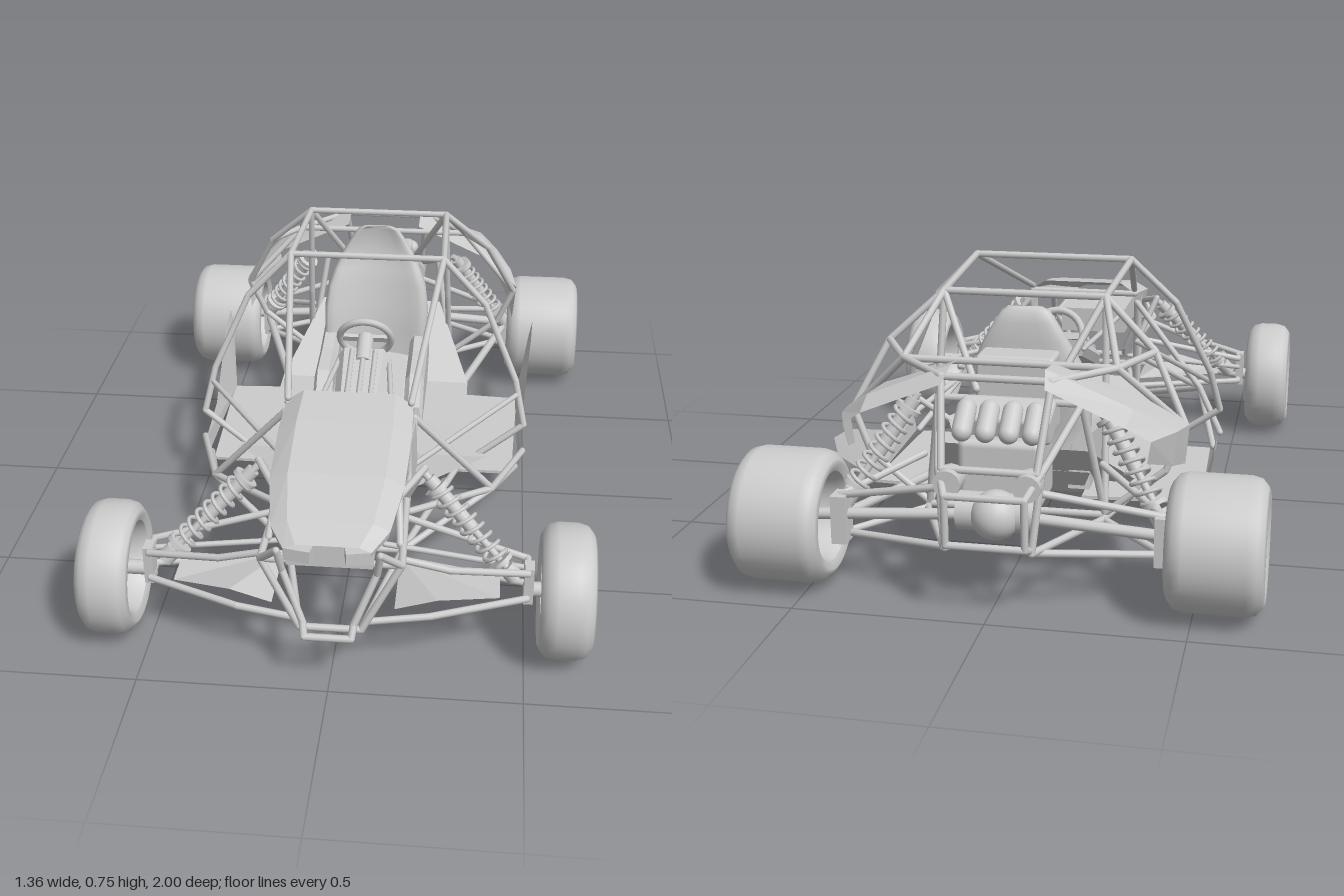
import * as THREE from 'three';
import { mergeGeometries } from 'three/addons/utils/BufferGeometryUtils.js';
import { RoundedBoxGeometry } from 'three/addons/geometries/RoundedBoxGeometry.js';

const smooth = new THREE.MeshStandardMaterial({ color: 0xcccccc, side: THREE.DoubleSide });
const flat = new THREE.MeshStandardMaterial({ color: 0xcccccc, side: THREE.DoubleSide, flatShading: true });
const V = (p) => new THREE.Vector3(...p);
const UP = new THREE.Vector3(0, 1, 0);

export function createModel() {
  const model = new THREE.Group();
  const add = (name, geo, mat = smooth, pos = [0, 0, 0], rot = [0, 0, 0], parent = model) => {
    const m = new THREE.Mesh(geo, mat);
    m.name = name;
    m.position.set(...pos);
    m.rotation.set(...rot);
    parent.add(m);
  };
  const both = (fn) => [1, -1].forEach((s) => fn(s, s > 0 ? 'left' : 'right'));
  const flip = (pts, s) => pts.map(([x, y, z]) => [x * s, y, z]);

  // straight rod between two points
  const rodGeo = (a, b, r, sides = 8) => {
    const d = V(b).sub(V(a));
    const g = new THREE.CylinderGeometry(r, r, d.length(), sides);
    g.applyQuaternion(new THREE.Quaternion().setFromUnitVectors(UP, d.clone().normalize()));
    return g.translate(...V(a).addScaledVector(d, 0.5).toArray());
  };
  // welded pipe through several points
  const pipe = (name, pts, r = 0.01) => {
    const parts = [];
    for (let i = 0; i + 1 < pts.length; i++) parts.push(rodGeo(pts[i], pts[i + 1], r));
    pts.forEach((p) => parts.push(new THREE.SphereGeometry(r, 8, 6).translate(...p)));
    add(name, mergeGeometries(parts));
  };
  const pipes = (name, pts, r) => both((s, side) => pipe(`${side} ${name}`, flip(pts, s), r));

  // surface through rows of points, optionally closed round and capped
  const skin = (rows, closed = false) => {
    const n = rows[0].length, idx = [];
    for (let i = 0; i + 1 < rows.length; i++)
      for (let j = 0; j < (closed ? n : n - 1); j++) {
        const a = i * n + j, b = i * n + (j + 1) % n;
        idx.push(a, b, a + n, b, b + n, a + n);
      }
    if (closed) for (const o of [0, (rows.length - 1) * n])
      for (let j = 1; j + 1 < n; j++) idx.push(o, o + j, o + j + 1);
    const g = new THREE.BufferGeometry();
    g.setAttribute('position', new THREE.Float32BufferAttribute(rows.flat(2), 3));
    g.setIndex(idx);
    g.computeVertexNormals();
    return g;
  };
  // flat sheet from the corners of one outline
  const sheet = (pts) => {
    const g = new THREE.BufferGeometry().setFromPoints(pts.map(V));
    g.setIndex(pts.slice(2).flatMap((_, i) => [0, i + 1, i + 2]));
    g.computeVertexNormals();
    return g;
  };

  // Wheels: tyre and dished rim turned about the axle
  const wheel = (name, s, x, y, z, R, w, rim, spokes) => {
    const g = new THREE.Group();
    g.name = name;
    g.position.set(x * s, y, z);
    g.rotation.z = -s * Math.PI / 2;
    model.add(g);
    const h = w / 2;
    const tyre = [[rim, -h + 0.01], [rim + 0.02, -h], [R - 0.025, -h + 0.005], [R - 0.007, -h + 0.02], [R, -h + 0.045],
      [R, h - 0.045], [R - 0.007, h - 0.02], [R - 0.025, h - 0.005], [rim + 0.02, h], [rim, h - 0.01], [rim - 0.006, h - 0.03],
      [rim - 0.015, 0], [rim - 0.006, -h + 0.03], [rim, -h + 0.01]].map((p) => new THREE.Vector2(...p));
    add('tyre', new THREE.LatheGeometry(tyre, 40), smooth, [0, 0, 0], [0, 0, 0], g);
    add('rim lip', new THREE.TorusGeometry(rim - 0.004, 0.007, 6, 40), smooth, [0, h - 0.012, 0], [Math.PI / 2, 0, 0], g);
    if (spokes) add('hub', new THREE.CylinderGeometry(0.055, 0.06, 0.05, 20), smooth, [0, 0.01, 0], [0, 0, 0], g);
    else add('rim dish', new THREE.CylinderGeometry(rim - 0.012, rim - 0.012, 0.02, 32), smooth, [0, 0, 0], [0, 0, 0], g);
    for (let i = 0; i < spokes; i++) {
      const a = i / spokes * Math.PI * 2, m = (rim + 0.05) / 2;
      add('spoke', new THREE.BoxGeometry(rim - 0.05, 0.03, 0.022), flat,
        [Math.cos(a) * m, 0.005, -Math.sin(a) * m], [0, a, 0], g);
    }
  };

  // Coil-over shocks
  const shock = (name, a, b) => {
    const A = V(a), B = V(b), L = A.distanceTo(B), g = new THREE.Group();
    g.name = name;
    g.position.copy(A);
    g.quaternion.setFromUnitVectors(UP, B.clone().sub(A).normalize());
    model.add(g);
    const coil = Array.from({ length: 65 }, (_, i) => new THREE.Vector3(
      0.03 * Math.cos(i * 0.785), L * (0.15 + 0.68 * i / 64), 0.03 * Math.sin(i * 0.785)));
    add('spring', new THREE.TubeGeometry(new THREE.CatmullRomCurve3(coil), 130, 0.006, 6), smooth, [0, 0, 0], [0, 0, 0], g);
    [[0.01, L, 0.5], [0.019, L * 0.5, 0.3], [0.036, 0.012, 0.14], [0.036, 0.012, 0.84], [0.024, 0.04, 0.95]].forEach(([r, len, t]) =>
      add('damper', new THREE.CylinderGeometry(r, r, len, 14), smooth, [0, L * t, 0], [0, 0, 0], g));
  };

  both((s, side) => {
    wheel(`${side} front wheel`, s, 0.603, 0.185, 0.755, 0.18, 0.142, 0.125, 10);
    wheel(`${side} rear wheel`, s, 0.557, 0.19, -0.823, 0.175, 0.245, 0.118, 0);
    shock(`${side} front shock`, [0.22 * s, 0.46, 0.65], [0.47 * s, 0.2, 0.73]);
    shock(`${side} rear shock`, [0.24 * s, 0.5, -0.7], [0.42 * s, 0.22, -0.79]);
    // uprights and axles
    add(`${side} front upright`, new THREE.BoxGeometry(0.025, 0.11, 0.045), flat, [0.505 * s, 0.205, 0.755]);
    add(`${side} rear upright`, new THREE.BoxGeometry(0.04, 0.13, 0.06), flat, [0.42 * s, 0.19, -0.823]);
    add(`${side} front axle`, rodGeo([0.5 * s, 0.185, 0.755], [0.62 * s, 0.185, 0.755], 0.02, 12));
    add(`${side} drive shaft`, rodGeo([0.1 * s, 0.22, -0.82], [0.56 * s, 0.19, -0.823], 0.015, 12));
    // guard plates on the front arms
    add(`${side} arm guard`, sheet(flip([[0.16, 0.18, 0.64], [0.16, 0.18, 0.87], [0.27, 0.215, 0.87], [0.43, 0.19, 0.81], [0.43, 0.19, 0.72]], s)), flat);
    // side fins, floor flaps and rear fenders
    add(`${side} side fin`, sheet(flip([[0.47, 0.13, -0.38], [0.48, 0.135, 0.08], [0.485, 0.19, 0.06], [0.49, 0.2, -0.13], [0.515, 0.31, -0.47], [0.52, 0.32, -0.58], [0.51, 0.27, -0.58]], s)), flat);
    const flap = [[0.14, 0.13, 0.09], [0.46, 0.13, 0.085], [0.475, 0.13, -0.38], [0.14, 0.13, -0.4]];
    add(`${side} floor flap`, skin([flip(flap, s), flip(flap, s).map(([x, y, z]) => [x, y - 0.009, z])], true), flat);
    add(`${side} rear fender`, skin([
      [[0.12, 0.6, -0.71], [0.34, 0.515, -0.67], [0.46, 0.43, -0.62], [0.45, 0.32, -0.61]],
      [[0.12, 0.615, -0.82], [0.34, 0.525, -0.82], [0.44, 0.445, -0.73], [0.43, 0.35, -0.72]],
      [[0.13, 0.58, -0.88], [0.33, 0.505, -0.91], [0.39, 0.46, -0.87], [0.38, 0.4, -0.86]],
    ].map((r) => flip(r, s))), flat);
    add(`${side} nose side panel`, sheet(flip([[0.18, 0.5, 0.56], [0.185, 0.5, 0.42], [0.19, 0.36, 0.44], [0.18, 0.33, 0.55]], s)), flat);
    add(`${side} headlight`, new THREE.BoxGeometry(0.07, 0.035, 0.05), flat, [0.075 * s, 0.39, 0.93], [0, 0.2 * s, 0]);
    // seat side with raised bolster
    const bolster = [[-0.08, 0.18], [-0.09, 0.24], [-0.165, 0.32], [-0.3, 0.33], [-0.46, 0.36], [-0.48, 0.18]];
    add(`${side} seat bolster`, skin([0.115, 0.13, 0.165, 0.175].map((x, i) => bolster.map(([z, y], j) =>
      [x * s, y - (i % 3 === 0 && j > 0 && j < 5 ? 0.025 : 0), z])), true), flat);
  });

  // Nose: open shell with a lamp box beneath
  add('nose', skin([
    [0.97, 0.11, 0.435, 0.41], [0.9, 0.15, 0.46, 0.42], [0.75, 0.175, 0.505, 0.45], [0.55, 0.18, 0.545, 0.48], [0.42, 0.175, 0.565, 0.5],
  ].map(([z, w, t, b]) => [[w * 0.97, b, z], [w, (t + b) / 2, z], [w * 0.72, t, z], [-w * 0.72, t, z], [-w, (t + b) / 2, z], [-w * 0.97, b, z]])), flat);
  add('lamp box', new THREE.BoxGeometry(0.22, 0.08, 0.3), flat, [0, 0.385, 0.78]);

  // Floor pan, kicked up behind the seat
  const foot = [[0.15, 0.25, 0.42], [0.38, 0.18, 0.09], [0.31, 0.175, -0.1], [0.31, 0.175, -0.39], [0.2, 0.35, -0.65]];
  add('floor pan', skin([foot, flip(foot, -1)]), flat);
  const under = [[0.14, 0.14, 0.09], [0.14, 0.14, -0.4], [0.2, 0.28, -0.62]];
  add('underside', skin([under, flip(under, -1)]), flat);

  // Tunnel and steering
  const beam = [[0.43, 0.06], [0.26, 0.07], [0, 0.08]].map(([z, w]) => {
    const y = 0.487 - z * 0.34;
    return [[w - 0.02, y, z], [w, y - 0.03, z], [w - 0.01, y - 0.06, z], [0.01 - w, y - 0.06, z], [-w, y - 0.03, z], [0.02 - w, y, z]];
  });
  add('steering tunnel', skin(beam, true), flat);
  [-0.035, 0, 0.035].forEach((x) => add('tunnel rib', rodGeo([x, 0.485, 0.01], [x, 0.342, 0.43], 0.009, 6)));
  add('steering wheel', new THREE.TorusGeometry(0.078, 0.011, 8, 28), smooth, [0, 0.5, -0.045], [0.45, 0, 0]);
  add('steering hub', rodGeo([0, 0.5, -0.05], [0, 0.46, 0.04], 0.025, 12));
  add('wheel spoke', new THREE.BoxGeometry(0.15, 0.02, 0.012), smooth, [0, 0.5, -0.045], [0.45, 0, 0]);

  // Seat
  add('seat back', skin([
    [0.2, 0.165, -0.34, -0.46], [0.35, 0.17, -0.35, -0.48], [0.43, 0.17, -0.37, -0.5], [0.5, 0.16, -0.39, -0.51],
    [0.55, 0.14, -0.42, -0.51], [0.6, 0.115, -0.45, -0.51], [0.65, 0.085, -0.455, -0.51], [0.68, 0.065, -0.46, -0.5], [0.69, 0.045, -0.465, -0.49],
  ].map(([y, w, f, b]) => Array.from({ length: 24 }, (_, i) => {
    const a = i / 24 * Math.PI * 2, c = Math.cos(a), q = Math.sin(a);
    const x = Math.sign(c) * Math.abs(c) ** 0.6, d = Math.sign(q) * Math.abs(q) ** 0.6;
    const dish = q > 0 ? (f - b) * 0.5 * (1 - x * x) : 0;
    return [w * x, y, (f + b) / 2 + (f - b) / 2 * d - dish];
  })), true));
  add('seat cushion', new RoundedBoxGeometry(0.25, 0.07, 0.36, 3, 0.02), smooth, [0, 0.225, -0.27], [0.1, 0, 0]);

  // Engine bay
  add('radiator', new RoundedBoxGeometry(0.21, 0.21, 0.1, 2, 0.012), smooth, [0, 0.485, -0.585]);
  add('engine block', new RoundedBoxGeometry(0.22, 0.18, 0.16, 2, 0.02), smooth, [0, 0.33, -0.74]);
  add('cylinder head', new RoundedBoxGeometry(0.25, 0.08, 0.11, 2, 0.015), smooth, [0, 0.45, -0.73], [-0.3, 0, 0]);
  add('gearbox', new THREE.CylinderGeometry(0.05, 0.05, 0.2, 20), smooth, [0, 0.24, -0.84], [0, 0, Math.PI / 2]);
  add('differential', new THREE.SphereGeometry(0.065, 20, 14), smooth, [0, 0.24, -0.86]);
  [-0.09, -0.03, 0.03, 0.09].forEach((x) =>
    add('intake', new THREE.CapsuleGeometry(0.026, 0.07, 6, 16), smooth, [x, 0.47, -0.81], [0.9, 0, 0]));
  both((s, side) => add(`${side} tail lamp`, rodGeo([0.1 * s, 0.35, -0.9], [0.1 * s, 0.35, -0.96], 0.035, 14)));

  // Cage, mirrored pipes
  pipes('front hoop', [[0.23, 0.75, -0.09], [0.36, 0.62, -0.06], [0.46, 0.4, 0], [0.49, 0.27, 0.04], [0.31, 0.14, 0.07]]);
  pipes('roof rail', [[0.23, 0.75, -0.09], [0.22, 0.73, -0.5]]);
  pipes('windscreen pillar', [[0.23, 0.75, -0.09], [0.17, 0.545, 0.43]]);
  pipes('rear hoop', [[0.22, 0.73, -0.5], [0.36, 0.6, -0.55], [0.45, 0.42, -0.61], [0.4, 0.3, -0.62], [0.24, 0.17, -0.62]]);
  pipes('rear stay', [[0.22, 0.73, -0.5], [0.28, 0.59, -0.69], [0.14, 0.59, -0.84], [0.12, 0.38, -0.93]]);
  pipes('rear upright bar', [[0.22, 0.73, -0.5], [0.23, 0.42, -0.55], [0.24, 0.17, -0.62]]);
  pipes('rear brace', [[0.22, 0.73, -0.5], [0.1, 0.5, -0.64]]);
  pipes('hoop brace', [[0.36, 0.6, -0.55], [0.28, 0.59, -0.69], [0.45, 0.42, -0.61]]);
  pipes('outer rail', [[0.18, 0.28, 0.56], [0.4, 0.24, 0.36], [0.49, 0.19, 0.06]]);
  pipes('cowl brace', [[0.18, 0.5, 0.43], [0.4, 0.24, 0.36], [0.47, 0.14, 0.07]]);
  pipes('cowl rail', [[0.12, 0.45, 0.44], [0.075, 0.45, 0]], 0.008);
  pipes('waist rail', [[0.18, 0.36, 0.45], [0.47, 0.36, 0.01]], 0.008);
  pipes('lower brace', [[0.4, 0.24, 0.36], [0.16, 0.15, 0.56], [0.18, 0.5, 0.43]]);
  pipes('lower rail', [[0.08, 0.155, 0.93], [0.16, 0.15, 0.56], [0.3, 0.14, 0.07], [0.28, 0.14, -0.4], [0.24, 0.16, -0.64], [0.11, 0.18, -0.95]]);
  pipes('upper nose rail', [[0.13, 0.4, 0.95], [0.18, 0.34, 0.9], [0.17, 0.35, 0.55], [0.18, 0.36, 0.45]]);
  pipes('nose strut', [[0.18, 0.34, 0.9], [0.08, 0.155, 0.93]]);
  pipes('shock tower', [[0.16, 0.15, 0.58], [0.17, 0.35, 0.6], [0.22, 0.47, 0.64], [0.16, 0.44, 0.74], [0.17, 0.35, 0.82]]);
  pipes('rear cradle', [[0.24, 0.17, -0.62], [0.19, 0.49, -0.69], [0.13, 0.38, -0.92], [0.11, 0.18, -0.95]]);
  // suspension arms
  pipes('front lower arm', [[0.1, 0.16, 0.9], [0.25, 0.17, 0.88], [0.5, 0.17, 0.78], [0.5, 0.17, 0.71], [0.16, 0.16, 0.62]]);
  pipes('front upper arm', [[0.18, 0.33, 0.86], [0.3, 0.29, 0.84], [0.5, 0.25, 0.78], [0.5, 0.25, 0.71], [0.17, 0.32, 0.65]]);
  pipes('steering rod', [[0.12, 0.25, 0.68], [0.5, 0.22, 0.71]], 0.008);
  pipes('trailing arm', [[0.3, 0.17, -0.42], [0.42, 0.19, -0.8]], 0.013);
  pipes('rear lower arm', [[0.24, 0.16, -0.64], [0.42, 0.14, -0.8], [0.11, 0.17, -0.92]]);
  pipes('rear upper arm', [[0.24, 0.32, -0.66], [0.42, 0.25, -0.82], [0.13, 0.32, -0.9]]);

  // Cross members and bumpers, given as half widths
  [[0.23, 0.75, -0.09], [0.22, 0.73, -0.5], [0.28, 0.59, -0.69], [0.18, 0.34, 0.9], [0.16, 0.15, 0.56], [0.08, 0.155, 0.93],
    [0.24, 0.165, -0.62], [0.12, 0.38, -0.93], [0.14, 0.59, -0.84], [0.19, 0.49, -0.69], [0.17, 0.53, 0.43], [0.1, 0.33, -0.985], [0.1, 0.2, -0.98]]
    .forEach(([x, y, z]) => pipe('cross member', [[-x, y, z], [x, y, z]]));
  pipes('rear bumper', [[0.13, 0.38, -0.92], [0.1, 0.33, -0.985], [0.1, 0.2, -0.98], [0.11, 0.18, -0.93]]);
  const bumper = [[0.13, 0.4, 0.95], [0.12, 0.33, 0.93], [0.065, 0.2, 0.97], [0.06, 0.17, 0.99]];
  pipe('front bumper', [...bumper, ...flip(bumper, -1).reverse()]);
  return model;
}
